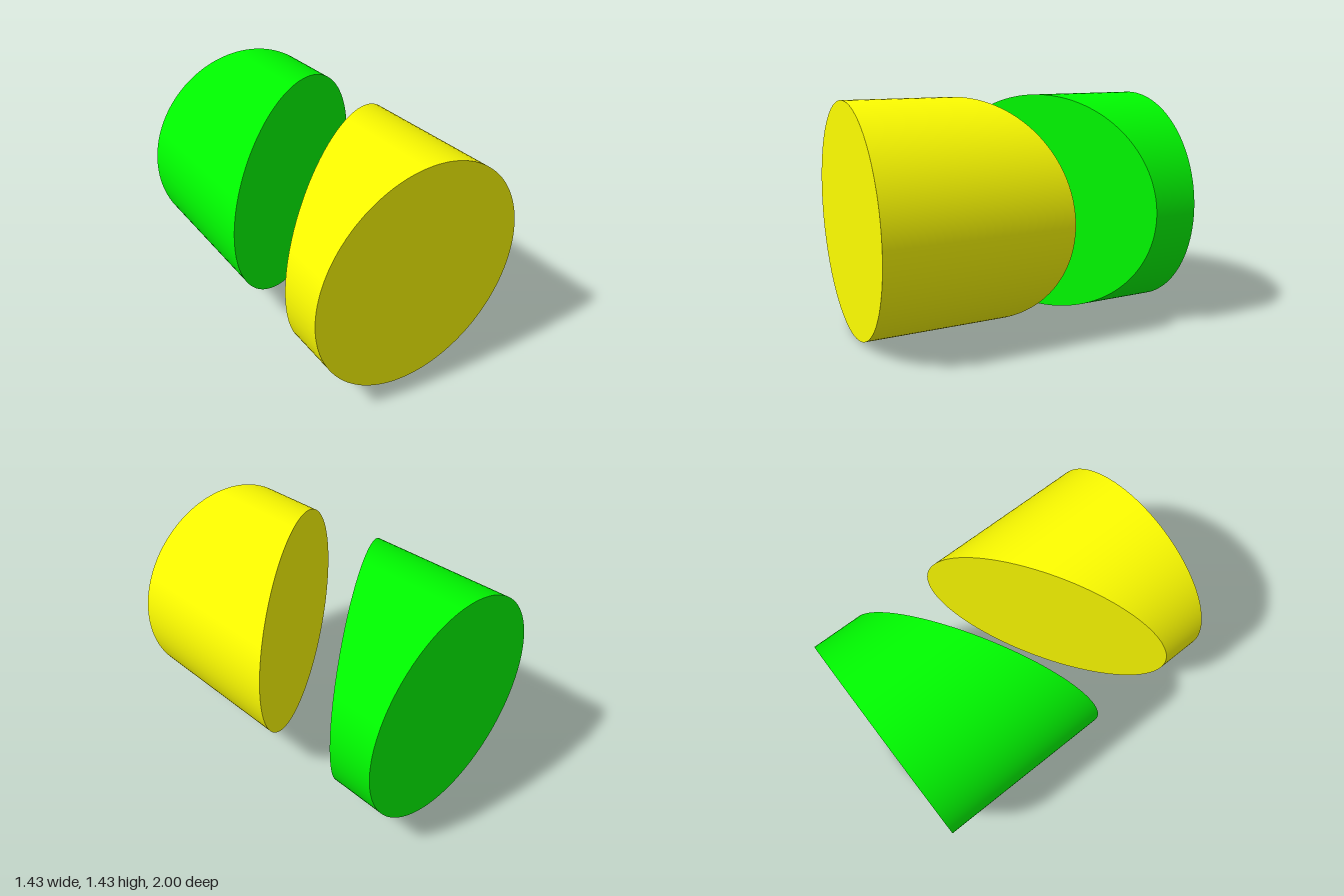
import * as THREE from 'three';

const RADIUS = 0.713;
const SLOPE = 0.598; // slant of the cut, z per x
const OFFSET = 0.286; // z of the cut on the axis

// Cylinder along z with its flat end at z = 1 and its inner end cut obliquely
function cutCylinder() {
  const geo = new THREE.CylinderGeometry(RADIUS, RADIUS, 2, 128);
  geo.rotateX(Math.PI / 2);
  const pos = geo.attributes.position;
  const normal = geo.attributes.normal;
  const cut = new THREE.Vector3(-SLOPE, 0, -1).normalize();
  for (let i = 0; i < pos.count; i++) {
    if (pos.getZ(i) > 0) continue;
    pos.setZ(i, OFFSET - SLOPE * pos.getX(i));
    if (normal.getZ(i) < -0.5) normal.setXYZ(i, cut.x, cut.y, cut.z);
  }
  return geo;
}

export function createModel() {
  const model = new THREE.Group();
  model.name = 'splitCylinder';
  const geo = cutCylinder();

  // Two identical halves, the rear one turned half round
  const halves = [['frontHalf', 0xffff00, 0], ['rearHalf', 0x00ff00, Math.PI]];
  for (const [name, color, turn] of halves) {
    const half = new THREE.Mesh(geo, new THREE.MeshStandardMaterial({ color }));
    half.name = name;
    half.position.y = RADIUS;
    half.rotation.y = turn;
    model.add(half);
  }
  return model;
}
